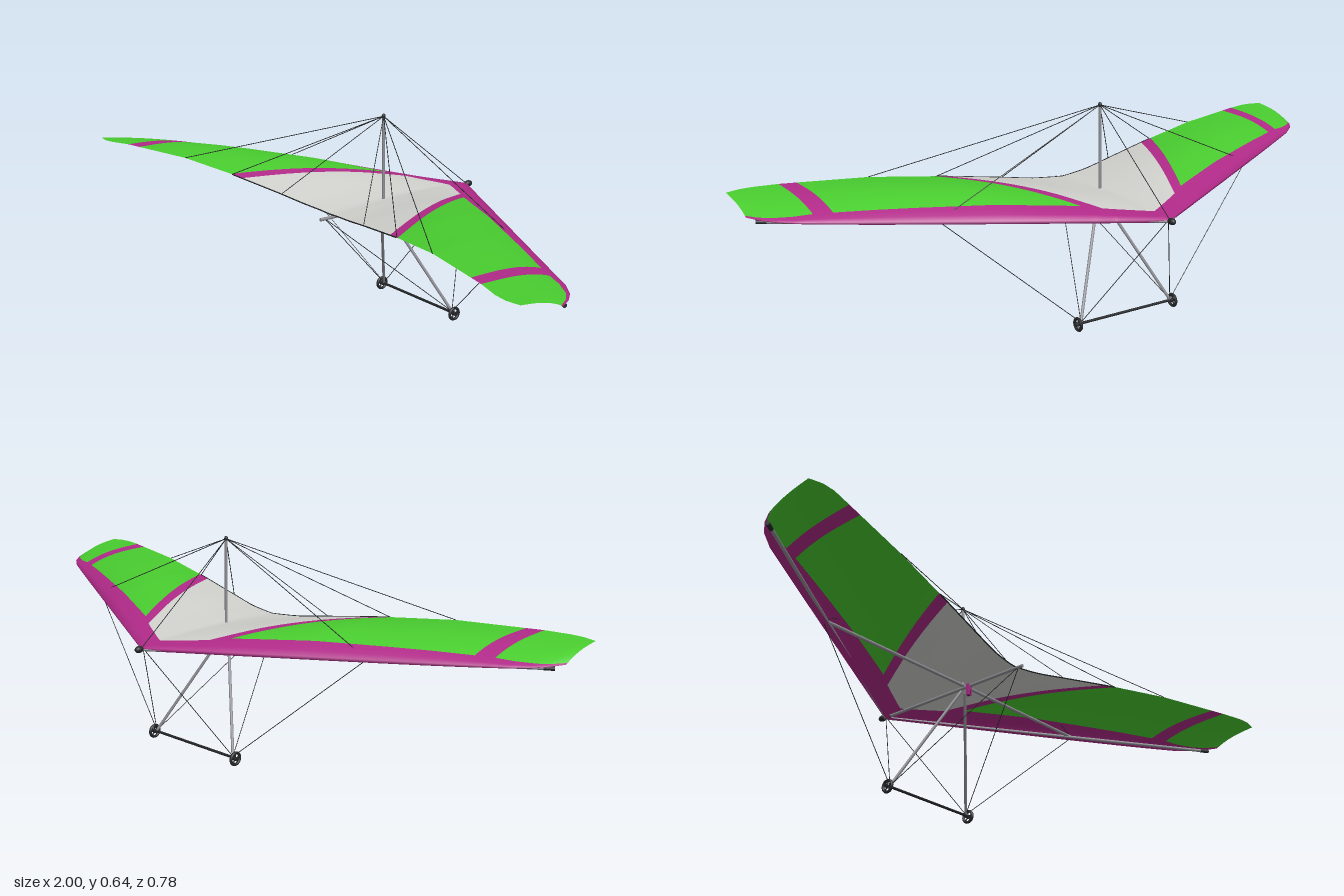
import * as THREE from 'three';

const mat = (name, color, side = THREE.FrontSide) => {
  const m = new THREE.MeshStandardMaterial({ color, side });
  m.name = name;
  return m;
};
const V = (x, y, z) => new THREE.Vector3(x, y, z);
const lerp = THREE.MathUtils.lerp;

// piecewise linear lookup through [x, value] pairs
const table = (pts) => (x) => {
  let i = 1;
  while (i < pts.length - 1 && x > pts[i][0]) i++;
  const [a, b] = [pts[i - 1], pts[i]];
  return lerp(a[1], b[1], (x - a[0]) / (b[0] - a[0]));
};

// half-span rules for the sail
const leadZ = table([[0, -0.365], [0.03, -0.35], [0.9, 0.125], [0.95, 0.163], [0.98, 0.2], [1, 0.24]]);
const trailZ = table([[0, 0.175], [0.05, 0.178], [0.1, 0.186], [0.2, 0.207], [0.4, 0.252], [0.6, 0.3],
  [0.85, 0.365], [0.92, 0.386], [0.96, 0.39], [1, 0.382]]);
const trailY = table([[0, 0.366], [0.1, 0.373], [0.2, 0.387], [0.4, 0.413], [0.6, 0.432], [0.85, 0.437], [1, 0.432]]);
const camber = table([[0, 0.012], [0.2, 0.03], [0.4, 0.037], [0.7, 0.025], [0.8, 0.018], [1, 0.008]]);
const bandWidth = table([[0, 0.07], [0.13, 0.072], [0.18, 0.078], [0.8, 0.04], [0.85, 0.035], [1, 0.006]]);
const leadY = (x) => 0.363 + 0.032 * x;
const sailY = (x, z) => {
  const t = THREE.MathUtils.clamp((z - leadZ(x)) / (trailZ(x) - leadZ(x)), 0, 1);
  return lerp(leadY(x), trailY(x), t) + camber(x) * Math.sin(Math.PI * t ** 0.8);
};

// one chordwise column: wrapped leading lip, leading band, then the panel
const BAND_ROWS = 5, PANEL_ROWS = 14;
function column(xf, xr) {
  const z0 = leadZ(xf), zb = z0 + bandWidth(xf), y0 = leadY(xf), s = 1 - xf ** 6;
  const pts = [V(xf, y0 - 0.014 * s, z0 + 0.032 * s), V(xf, y0 - 0.01 * s, z0 + 0.004 * s)];
  for (let i = 0; i <= 3; i++) {
    const z = lerp(z0, zb, i / 3);
    pts.push(V(xf, sailY(xf, z), z));
  }
  for (let i = 1; i <= PANEL_ROWS; i++) {
    const v = i / PANEL_ROWS, x = lerp(xf, xr, v), z = lerp(zb, trailZ(xr), v);
    pts.push(V(x, sailY(x, z), z));
  }
  return pts;
}

function sailGeometry() {
  // panels: front x range, rear x range, columns, material index (0 magenta, 1 green, 2 grey)
  const panels = [[0, 0.13, 0, 0.36, 14, 2], [0.13, 0.18, 0.36, 0.405, 3, 0], [0.18, 0.8, 0.405, 0.8, 24, 1],
    [0.8, 0.85, 0.8, 0.85, 2, 0], [0.85, 1, 0.85, 1, 15, 1]];
  const half = [];
  for (const [f0, f1, r0, r1, n, m] of panels)
    for (let k = 1; k <= n; k++) half.push({ pts: column(lerp(f0, f1, k / n), lerp(r0, r1, k / n)), m });
  const mirrored = half.map(({ pts, m }) => ({ pts: pts.map((p) => V(-p.x, p.y, p.z)), m })).reverse();
  const cols = [...mirrored, { pts: column(0, 0), m: 2 }, ...half];
  const rows = cols[0].pts.length, lists = [[], [], []];
  for (let c = 0; c < cols.length - 1; c++) {
    const panel = c < half.length ? cols[c].m : cols[c + 1].m;
    for (let r = 0; r < rows - 1; r++) {
      const a = c * rows + r, b = a + rows;
      lists[r < BAND_ROWS ? 0 : panel].push(a, a + 1, b, a + 1, b + 1, b);
    }
  }
  const g = new THREE.BufferGeometry().setFromPoints(cols.flatMap((c) => c.pts));
  g.setIndex(lists.flat());
  let start = 0;
  lists.forEach((l, i) => { g.addGroup(start, l.length, i); start += l.length; });
  g.computeVertexNormals();
  return g;
}

export function createModel() {
  const model = new THREE.Group();
  model.name = 'hangGlider';
  const magenta = mat('magenta cloth', 0xb02a88, THREE.DoubleSide);
  const green = mat('green cloth', 0x49cc2f, THREE.DoubleSide);
  const grey = mat('pale grey cloth', 0xd0d0cc, THREE.DoubleSide);
  const metal = mat('aluminium', 0x8e8e94);
  const black = mat('black', 0x242628);

  const add = (name, geo, m, pos) => {
    const mesh = new THREE.Mesh(geo, m);
    mesh.name = name;
    if (pos) mesh.position.copy(pos);
    model.add(mesh);
    return mesh;
  };
  // straight rod between two points
  const rod = (name, a, b, r, m, sides = 12) => {
    const d = b.clone().sub(a);
    const mesh = add(name, new THREE.CylinderGeometry(r, r, d.length(), sides), m, a.clone().add(b).multiplyScalar(0.5));
    mesh.quaternion.setFromUnitVectors(V(0, 1, 0), d.normalize());
    return mesh;
  };
  const wire = (a, b) => rod('wire', a, b, 0.0012, black, 5);

  add('sail', sailGeometry(), [magenta, green, grey]);

  // dark hem along the centre of the trailing edge
  const hem = [];
  for (let i = -10; i <= 10; i++) {
    const x = Math.abs(i) * 0.04;
    hem.push(V(i * 0.04, trailY(x), trailZ(x)));
  }
  add('trailingHem', new THREE.TubeGeometry(new THREE.CatmullRomCurve3(hem), 40, 0.002, 5), black);

  // centre frame
  rod('keel', V(0, 0.355, 0.21), V(0, 0.358, -0.37), 0.005, metal);
  add('noseCap', new THREE.SphereGeometry(0.01, 16, 10), black, V(0, 0.36, -0.375)).scale.set(1, 1, 1.5);
  const mast = V(0, 0.63, -0.028);
  rod('kingpost', V(0, 0.355, -0.028), mast, 0.0045, metal);
  add('kingpostCap', new THREE.SphereGeometry(0.006, 12, 8), black, mast).scale.y = 1.4;

  // hang loop and carabiner
  add('hangStrap', new THREE.BoxGeometry(0.014, 0.036, 0.011), magenta, V(0, 0.344, -0.003));
  const clip = add('carabiner', new THREE.TorusGeometry(0.008, 0.0015, 6, 20), black, V(0, 0.337, -0.005));
  clip.rotation.y = Math.PI / 2;
  clip.scale.y = 1.5;

  // control frame
  rod('baseBar', V(-0.187, 0.024, -0.165), V(0.187, 0.024, -0.165), 0.004, black);
  wire(mast, V(0, 0.363, -0.365));

  for (const s of [-1, 1]) {
    const corner = V(s * 0.165, 0.027, -0.165);
    const barEnd = V(s * 0.56, 0.378, -0.047);
    rod('downtube', V(s * 0.008, 0.343, -0.027), corner, 0.0045, metal);
    rod('leadingEdgeTube', V(0, 0.357, -0.36), V(s * 0.97, 0.385, 0.208), 0.005, metal);
    const tip = rod('leadingEdgeCap', V(s * 0.957, 0.3846, 0.2), V(s * 0.982, 0.3854, 0.215), 0.006, black);
    tip.name = 'leadingEdgeCap';
    rod('crossbar', V(0, 0.362, -0.022), barEnd, 0.005, metal);

    // rigging
    wire(corner, V(0, 0.36, -0.36));
    wire(corner, V(0, 0.357, 0.195));
    wire(corner, barEnd);
    wire(mast, barEnd);
    for (const x of [0.2, 0.4, 0.6]) wire(mast, V(s * x, trailY(x), trailZ(x)));

    // wheel
    const hub = V(s * 0.175, 0.0225, -0.165);
    add('tyre', new THREE.TorusGeometry(0.0178, 0.0045, 8, 28), black, hub).rotation.y = Math.PI / 2;
    rod('hub', hub.clone().add(V(-0.009, 0, 0)), hub.clone().add(V(0.009, 0, 0)), 0.006, black);
    for (let k = 0; k < 5; k++) {
      const a = Math.PI / 2 + k * Math.PI * 0.4;
      rod('spoke', hub, hub.clone().add(V(0, Math.sin(a) * 0.017, Math.cos(a) * 0.017)), 0.002, black, 6);
    }
  }
  return model;
}
